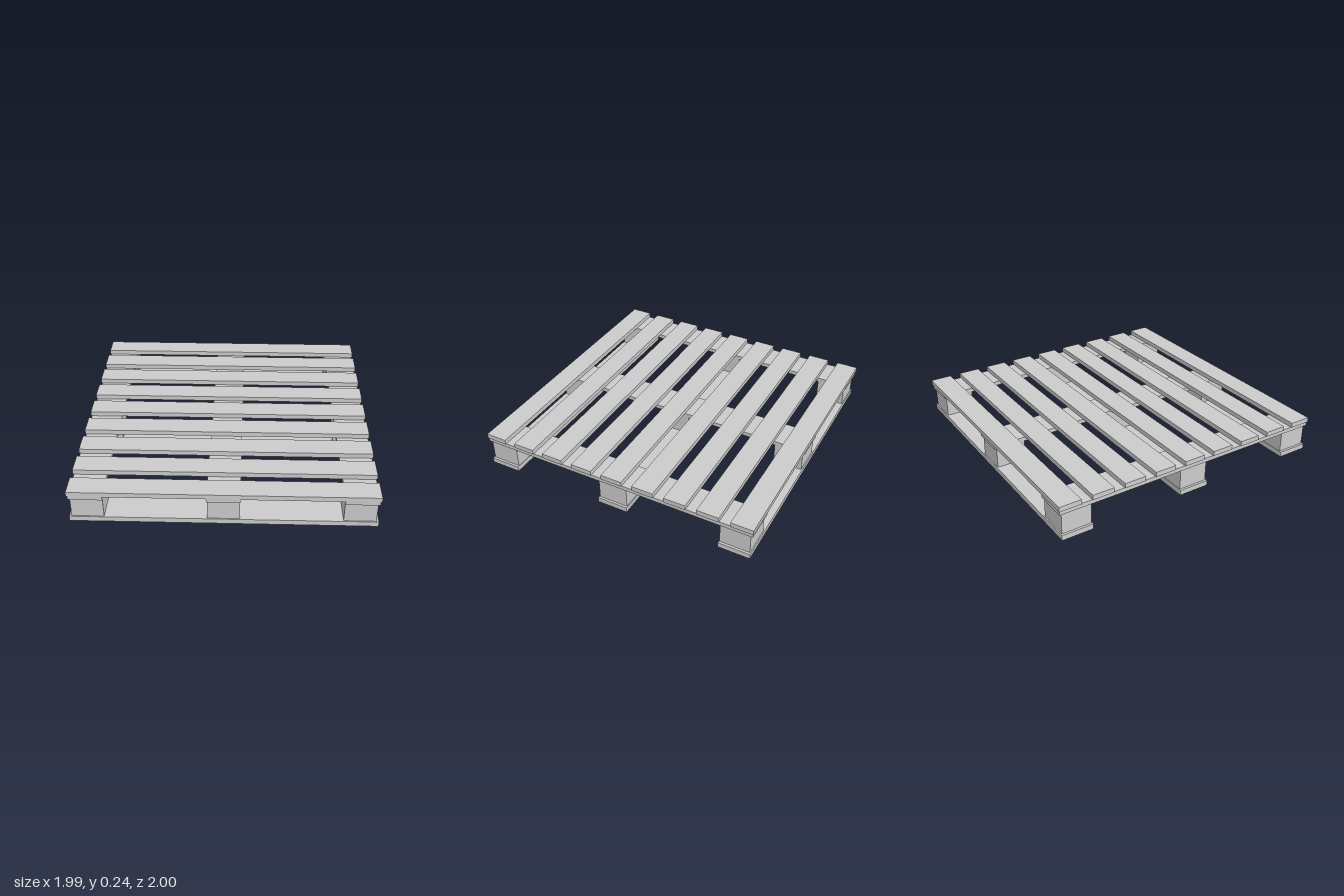
import * as THREE from 'three';

export function createModel() {
  const pallet = new THREE.Group();
  pallet.name = 'pallet';
  const wood = new THREE.MeshStandardMaterial({ color: 0xcccccc, flatShading: true });

  // Box resting on height y, centred on x and z
  function board(name, w, h, d, x, y, z) {
    const mesh = new THREE.Mesh(new THREE.BoxGeometry(w, h, d), wood);
    mesh.name = name;
    mesh.position.set(x, y + h / 2, z);
    pallet.add(mesh);
  }

  // Layer heights from the ground up
  const bottomH = 0.036, blockH = 0.145, stringerH = 0.029, slatH = 0.034;
  const blockY = bottomH, stringerY = blockY + blockH, slatY = stringerY + stringerH;

  for (const row of [-1, 0, 1]) {
    // Bottom boards run across, stringers run front to back
    board('bottomBoard', 1.994, bottomH, 0.218, 0, 0, row * 0.878);
    board('stringer', 0.22, stringerH, 1.99, row * 0.88, stringerY, 0);
    // Spacer blocks where they cross
    for (const col of [-1, 0, 1]) {
      board('block', 0.21, blockH, 0.206, col * 0.876, blockY, row * 0.876);
    }
  }

  // Nine top deck slats
  for (let i = -4; i <= 4; i++) {
    board('deckSlat', 1.994, slatH, 0.153, 0, slatY, i * 0.2309);
  }

  return pallet;
}
